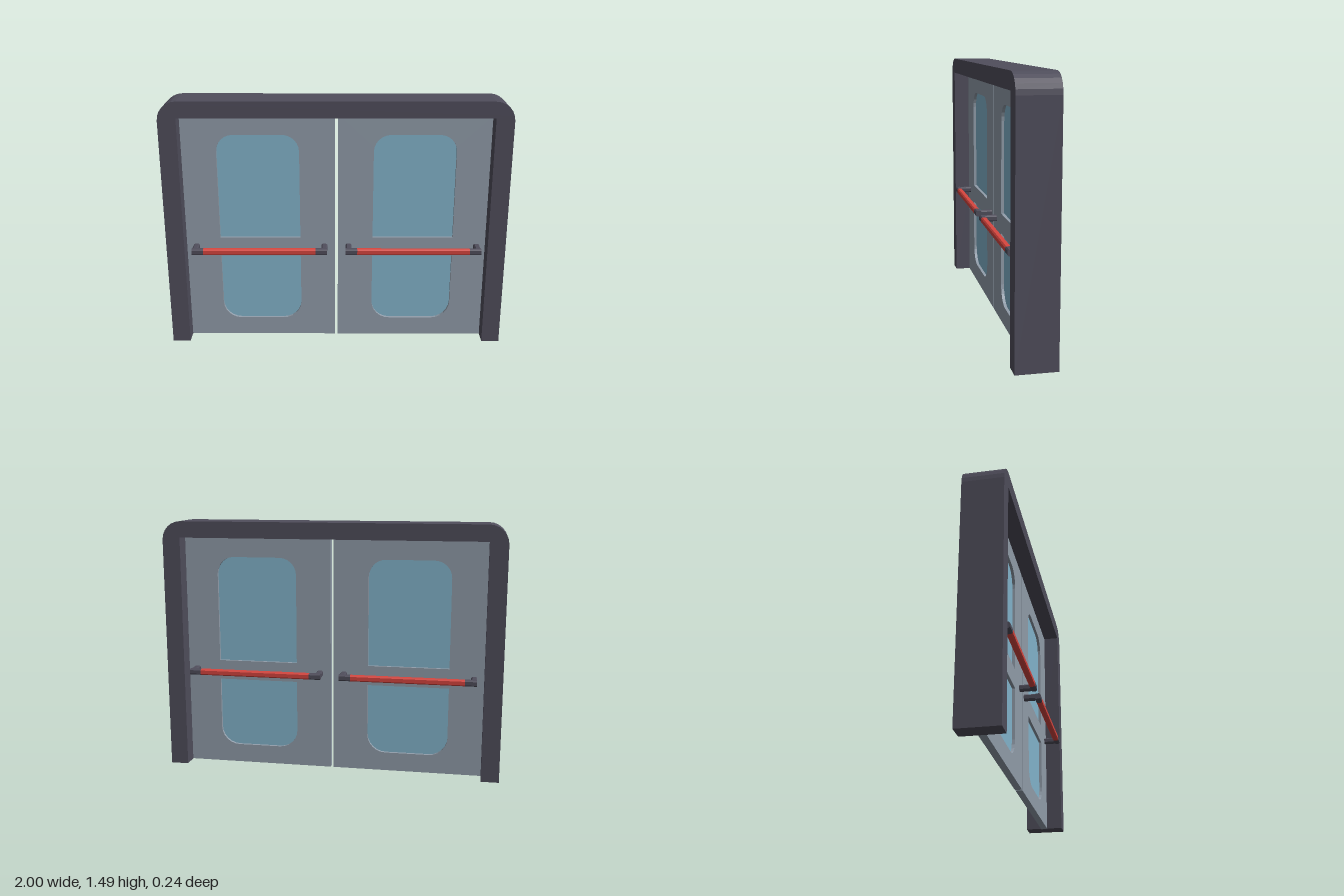
import * as THREE from 'three';

const frameMat = new THREE.MeshStandardMaterial({ name: 'dark frame', color: 0x504e5c });
const doorMat = new THREE.MeshStandardMaterial({ name: 'grey panel', color: 0x929eab });
const glassMat = new THREE.MeshStandardMaterial({ name: 'blue glass', color: 0x84b6ce });
const redMat = new THREE.MeshStandardMaterial({ name: 'red grip', color: 0xd8463f });

const FRAME_DEPTH = 0.23, DOOR_DEPTH = 0.04;
const BAR_Y = 0.588, BAR = 0.035, BAR_Z = 0.1025;

function add(parent, name, geometry, material, x = 0, y = 0, z = 0) {
  const mesh = new THREE.Mesh(geometry, material);
  mesh.name = name;
  mesh.position.set(x, y, z);
  parent.add(mesh);
  return mesh;
}

// Extrusion centred on z = 0
function slab(shape, depth) {
  const g = new THREE.ExtrudeGeometry(shape, { depth, bevelEnabled: false, curveSegments: 3 });
  return g.translate(0, 0, -depth / 2);
}

// Rectangle outline with separate radii for top and bottom corners
function outline(path, x0, x1, y0, y1, top, bottom) {
  path.moveTo(x0 + bottom, y0);
  path.lineTo(x1 - bottom, y0);
  if (bottom) path.absarc(x1 - bottom, y0 + bottom, bottom, -Math.PI / 2, 0);
  path.lineTo(x1, y1 - top);
  if (top) path.absarc(x1 - top, y1 - top, top, 0, Math.PI / 2);
  path.lineTo(x0 + top, y1);
  if (top) path.absarc(x0 + top, y1 - top, top, Math.PI / 2, Math.PI);
  path.lineTo(x0, y0 + bottom);
  if (bottom) path.absarc(x0 + bottom, y0 + bottom, bottom, Math.PI, Math.PI * 1.5);
  return path;
}

// Square bar with chamfered corners, running along z
function chamferedBar(length) {
  const h = BAR / 2, c = BAR * 0.2;
  const s = new THREE.Shape([
    [-h + c, -h], [h - c, -h], [h, -h + c], [h, h - c],
    [h - c, h], [-h + c, h], [-h, h - c], [-h, -h + c],
  ].map(([x, y]) => new THREE.Vector2(x, y)));
  return slab(s, length);
}

// Push bar: red grip between two elbows that return to the door
function pushBar(side) {
  const bar = new THREE.Group();
  bar.name = side > 0 ? 'frontPushBar' : 'rearPushBar';
  const half = 0.401, grip = 0.333, cap = half - grip;
  add(bar, 'grip', chamferedBar(grip * 2).rotateY(Math.PI / 2), redMat, 0, BAR_Y, side * BAR_Z);
  for (const end of [-1, 1]) {
    add(bar, 'elbow', chamferedBar(cap).rotateY(Math.PI / 2), frameMat,
      end * (grip + cap / 2), BAR_Y, side * BAR_Z);
    const reach = BAR_Z - 0.018;
    add(bar, 'bracket', chamferedBar(reach), frameMat,
      end * (half - BAR / 2), BAR_Y, side * (0.018 + reach / 2));
  }
  return bar;
}

function door(name, x) {
  const group = new THREE.Group();
  group.name = name;
  group.position.x = x;

  // Panel with two window openings
  const panel = outline(new THREE.Shape(), -0.448, 0.448, 0, 1.4, 0, 0);
  panel.holes.push(
    outline(new THREE.Path(), -0.24, 0.24, 0.645, 1.277, 0.1, 0),
    outline(new THREE.Path(), -0.24, 0.24, 0.112, 0.528, 0, 0.11),
  );
  add(group, 'panel', slab(panel, DOOR_DEPTH), doorMat);

  // Panes set inside the openings
  const upper = outline(new THREE.Shape(), -0.24, 0.24, 0.645, 1.277, 0.1, 0);
  const lower = outline(new THREE.Shape(), -0.24, 0.24, 0.112, 0.528, 0, 0.11);
  add(group, 'upperPane', slab(upper, 0.006), glassMat);
  add(group, 'lowerPane', slab(lower, 0.006), glassMat);

  group.add(pushBar(1), pushBar(-1));
  return group;
}

export function createModel() {
  const model = new THREE.Group();
  model.name = 'doubleDoor';

  // Frame: one arch-shaped extrusion, open at the bottom
  const s = new THREE.Shape();
  const r = 0.11, top = 1.49, inner = 0.895, innerTop = 1.395;
  s.moveTo(-1, 0);
  s.lineTo(-inner, 0);
  s.lineTo(-inner, innerTop);
  s.lineTo(inner, innerTop);
  s.lineTo(inner, 0);
  s.lineTo(1, 0);
  s.lineTo(1, top - r);
  s.absarc(1 - r, top - r, r, 0, Math.PI / 2);
  s.lineTo(-1 + r, top);
  s.absarc(-1 + r, top - r, r, Math.PI / 2, Math.PI);
  add(model, 'frame', slab(s, FRAME_DEPTH), frameMat);

  model.add(door('rightDoor', -0.453), door('leftDoor', 0.459));
  return model;
}
